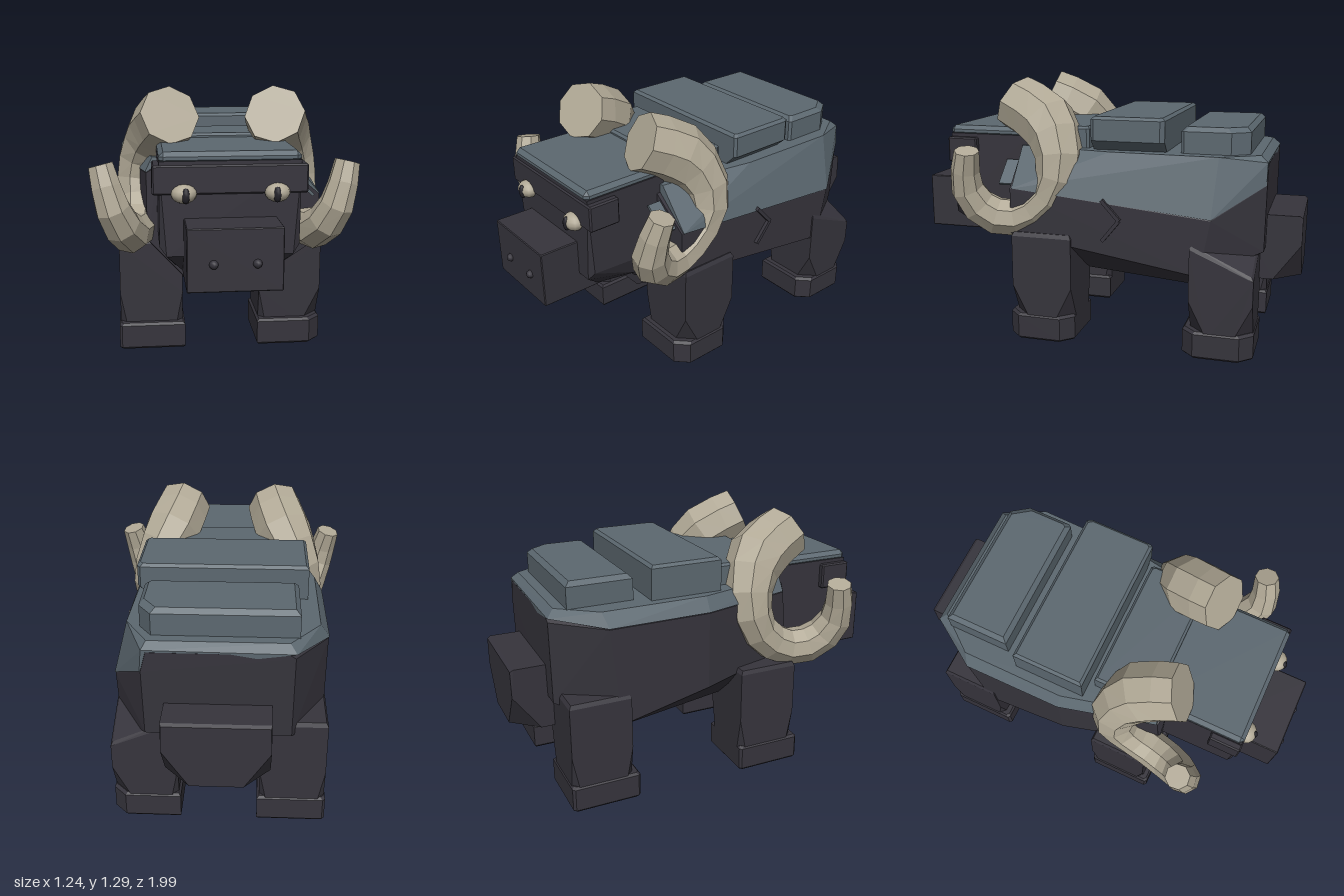
import * as THREE from 'three';
import { ConvexGeometry } from 'three/addons/geometries/ConvexGeometry.js';

const mat = (name, color) => {
  const m = new THREE.MeshStandardMaterial({ color });
  m.name = name;
  return m;
};

export function createModel() {
  const hide = mat('dark hide', 0x36343c);
  const slate = mat('slate plate', 0x5c6870);
  const bone = mat('bone', 0xb1a996);
  const pupilMat = mat('pupil black', 0x24232a);
  const model = new THREE.Group();
  model.name = 'hornedBeast';

  const add = (name, geo, material, x = 0, y = 0, z = 0) => {
    const m = new THREE.Mesh(geo, material);
    m.name = name;
    m.position.set(x, y, z);
    model.add(m);
    return m;
  };
  // faceted solid around points
  const hull = (name, pts, material) =>
    add(name, new ConvexGeometry(pts.map(p => new THREE.Vector3(...p))), material);
  // mirror points across x
  const both = pts => pts.flatMap(([x, y, z]) => [[x, y, z], [-x, y, z]]);
  // box with bevelled edges: c is the bevel
  const block = (name, material, [x0, x1], [y0, y1], [z0, z1], c) => {
    const pts = [];
    for (const i of [0, 1]) for (const j of [0, 1]) for (const k of [0, 1]) {
      const p = [i ? x1 : x0, j ? y1 : y0, k ? z1 : z0];
      const d = [i ? -c : c, j ? -c : c, k ? -c : c];
      for (let a = 0; a < 3; a++) pts.push(p.map((v, b) => (b === a ? v : v + d[b])));
    }
    return hull(name, pts, material);
  };

  // body: the left shoulder is square, the right one is cut back
  hull('body', [
    ...both([
      [0.13, 0.31, 0.4], [0.3, 0.3, -0.5], [0.49, 0.4, -0.55],
      [0.33, 0.5, -0.83], [0.31, 0.915, -0.835], [0.3, 0.92, 0.4]
    ]),
    [0.48, 0.765, 0.39], [0.48, 0.54, 0.39], [0.49, 0.67, -0.6], [0.335, 0.82, -0.835],
    [-0.36, 0.88, 0.38], [-0.36, 0.56, 0.4], [-0.36, 0.88, 0.18], [-0.485, 0.88, -0.1],
    [-0.485, 0.5, -0.1], [-0.49, 0.88, -0.6], [-0.335, 0.9, -0.835]
  ], hide);
  // slate back: slopes down the left flank, stays high on the right
  hull('back', [
    [0.485, 0.765, 0.38], [0.494, 0.675, -0.6], [0.34, 0.82, -0.832], [0.33, 0.925, -0.834],
    [0.31, 0.955, -0.8], [0.42, 0.955, -0.62], [0.41, 0.955, -0.1], [0.33, 0.955, 0.38],
    [-0.365, 0.885, 0.375], [-0.33, 0.955, 0.37], [-0.365, 0.885, 0.18], [-0.34, 0.955, 0.16],
    [-0.49, 0.885, -0.1], [-0.45, 0.955, -0.1], [-0.494, 0.885, -0.6], [-0.45, 0.955, -0.62],
    [-0.34, 0.92, -0.836], [-0.31, 0.955, -0.8]
  ], slate);
  // back plates, undercut along the left edge, with a corner cut at the rear left
  for (const [name, w, cut, corner, bevel, y0, y1, z0, z1] of [
    ['shoulderPlate', 0.33, 0.02, 0.01, 0.012, 0.9, 1.06, 0.03, 0.33],
    ['midBackPlate', 0.405, 0.08, 0.015, 0.014, 0.925, 1.12, -0.36, 0],
    ['rearBackPlate', 0.355, 0.05, 0.06, 0.022, 0.9, 1.08, -0.75, -0.43]
  ]) {
    const pts = [];
    for (const [z, d, c] of [[z0, 1, corner], [z1, -1, 0.01]]) {
      const low = y1 - bevel, zb = z + d * bevel;
      pts.push([-w, y0, z], [-w, low, z], [-w + bevel, y1, zb], [w - cut - c, y0, z]);
      pts.push([w - c, y0 + cut, z], [w, y0 + cut, z + d * c * 1.4]);
      pts.push([w - c, low, z], [w, low, z + d * c * 1.4]);
      pts.push([w - c - bevel, y1, zb], [w - bevel, y1, zb + d * c * 1.4]);
    }
    hull(name, pts, slate);
  }
  // tail block, its lower corners cut away
  hull('tail', both([
    [0.24, 0.66, -0.7], [0.24, 0.66, -0.985], [0.235, 0.65, -1], [0.24, 0.52, -1],
    [0.24, 0.34, -0.87], [0.24, 0.34, -0.7], [0.12, 0.34, -1]
  ]), hide);

  // flank scar, on the left side only
  for (const [y, a] of [[0.69, 0.74], [0.59, -0.68]]) {
    const s = add('scar', new THREE.BoxGeometry(0.03, 0.13, 0.018), hide, 0.488, y, -0.125);
    s.rotation.x = a;
  }

  // head
  block('neck', hide, [-0.27, 0.27], [0.45, 0.9], [0.25, 0.52], 0.04);
  hull('head', both([
    [0.31, 1.0, 0.36], [0.31, 1.0, 0.78], [0.31, 0.6, 0.36], [0.31, 0.62, 0.76],
    [0.28, 0.58, 0.78], [0.2, 0.47, 0.4], [0.2, 0.48, 0.68], [0.27, 0.5, 0.5]
  ]), hide);
  block('headCap', slate, [-0.31, 0.31], [0.985, 1.04], [0.3, 0.785], 0.02);
  block('brow', hide, [-0.34, 0.34], [0.855, 0.983], [0.63, 0.787], 0.007);
  block('snout', hide, [-0.205, 0.205], [0.475, 0.75], [0.6, 0.97], 0.004);

  // horns: an eight-sided tapering tube with flat ends
  const path = [
    [0.245, 1.162, 0.44], [0.295, 1.075, 0.265], [0.365, 0.95, 0.175], [0.402, 0.81, 0.17],
    [0.405, 0.69, 0.235], [0.415, 0.605, 0.38], [0.455, 0.63, 0.52], [0.515, 0.76, 0.6], [0.565, 0.955, 0.57]
  ];
  const radii = [0.142, 0.152, 0.125, 0.108, 0.096, 0.096, 0.096, 0.082, 0.06];
  const hornGeometry = side => {
    const steps = 13, sides = 8;
    const curve = new THREE.CatmullRomCurve3(path.map(([x, y, z]) => new THREE.Vector3(x * side, y, z)));
    const geo = new THREE.TubeGeometry(curve, steps, 1, sides);
    const pos = geo.attributes.position, v = new THREE.Vector3();
    for (let i = 0; i <= steps; i++) {
      const c = curve.getPointAt(i / steps);
      const t = curve.getUtoTmapping(i / steps) * (radii.length - 1);
      const k = Math.min(Math.floor(t), radii.length - 2);
      const r = THREE.MathUtils.lerp(radii[k], radii[k + 1], t - k);
      for (let j = 0; j <= sides; j++) {
        const n = i * (sides + 1) + j;
        v.fromBufferAttribute(pos, n).sub(c).multiplyScalar(r).add(c);
        pos.setXYZ(n, v.x, v.y, v.z);
      }
    }
    const index = Array.from(geo.index.array), e = steps * (sides + 1);
    for (let j = 1; j < sides - 1; j++) index.push(0, j, j + 1, e, e + j + 1, e + j);
    geo.setIndex(index);
    const flat = geo.toNonIndexed();
    flat.computeVertexNormals();
    return flat;
  };

  // paired parts
  for (const s of [1, -1]) {
    const side = s > 0 ? 'left' : 'right';
    add(side + 'Horn', hornGeometry(s), bone);
    add(side + 'Eye', new THREE.SphereGeometry(1, 12, 8), bone, s * 0.203, 0.86, 0.787).scale.set(0.056, 0.042, 0.048);
    add(side + 'Pupil', new THREE.SphereGeometry(1, 8, 6), pupilMat, s * 0.197, 0.857, 0.822).scale.set(0.019, 0.035, 0.018);
    add(side + 'Nostril', new THREE.SphereGeometry(0.02, 8, 6), hide, s * 0.092, 0.597, 0.972);
    // legs taper at the corners towards the foot, more so on the left
    for (const [end, z0, z1, f0, f1] of [
      ['Front', 0.075, 0.38, 0.075, 0.412], ['Rear', -0.805, -0.505, -0.81, -0.47]
    ]) {
      const xs = [0.19, 0.497], pts = [];
      for (const x of xs) for (const z of [z0, z1]) {
        const dx = x === xs[0] ? 1 : -1, dz = z === z0 ? 1 : -1;
        const c = dx < 0 && s > 0 ? 0.09 : 0.035;
        const top = end === 'Rear' && s > 0 && dx < 0 && dz > 0 ? 0.42 : 0.55;
        pts.push([s * (x + dx * 0.01), top, z + dz * 0.01], [s * x, top - 0.02, z], [s * x, 0.28, z]);
        pts.push([s * (x + dx * c), 0.1, z], [s * x, 0.1, z + dz * c]);
      }
      hull(side + end + 'Leg', pts, hide);
      // feet: the left ones have cut outer corners
      const k = s > 0 ? 0.06 : 0.012, foot = [];
      for (const [y, b] of [[0, 0.008], [0.01, 0], [0.12, 0], [0.132, 0.01]]) {
        for (const [x, z] of [
          [0.18 + b, f0 + b], [0.18 + b, f1 - b], [0.503 - k - b, f0 + b],
          [0.503 - b, f0 + k + b], [0.503 - k - b, f1 - b], [0.503 - b, f1 - k - b]
        ]) foot.push([s * x, y, z]);
      }
      hull(side + end + 'Foot', foot, hide);
    }
  }
  // small ear tucked under the left horn
  const ear = add('ear', new THREE.BoxGeometry(0.15, 0.014, 0.09), slate, 0.38, 0.825, 0.42);
  ear.rotation.z = -0.75;
  return model;
}
